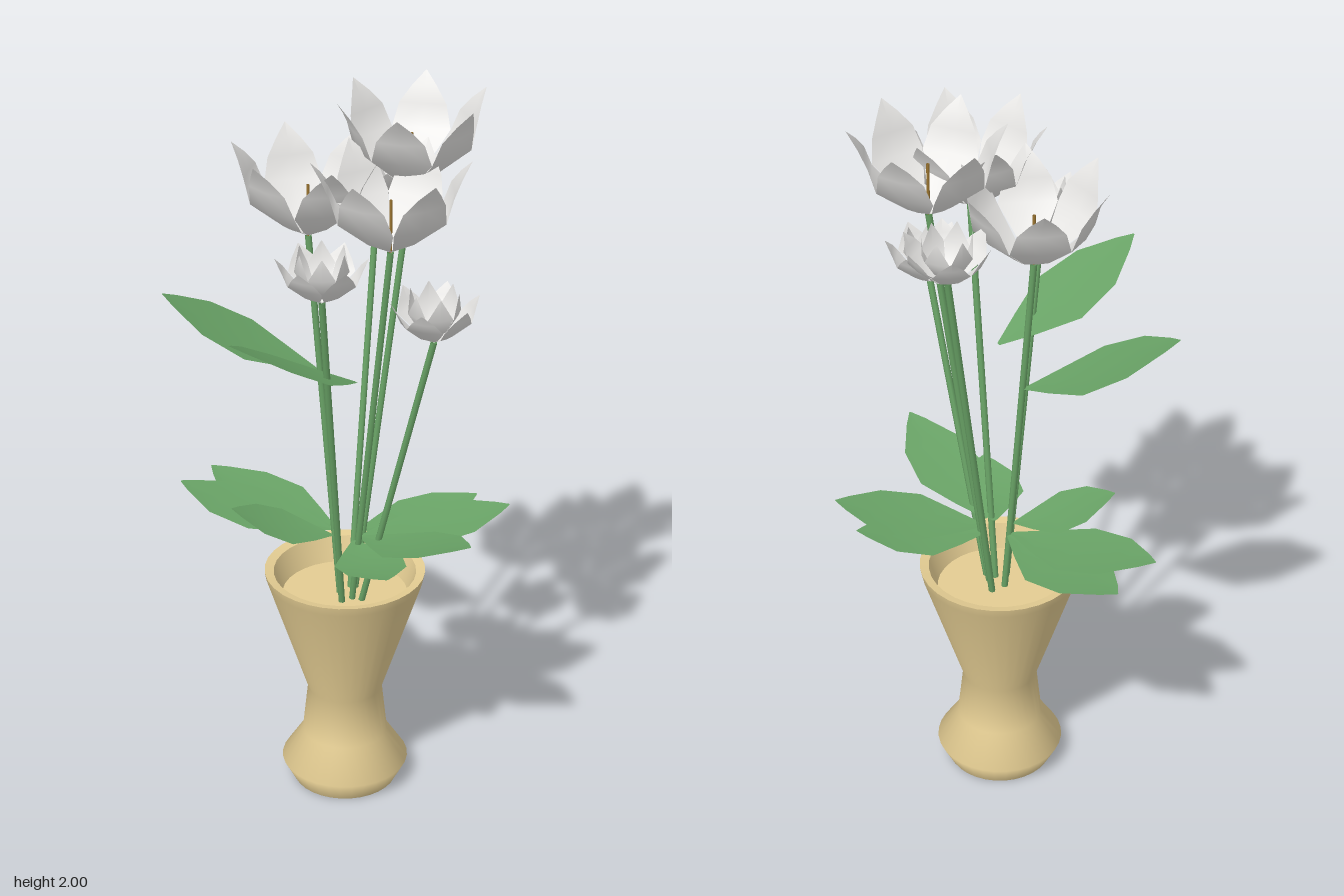
import * as THREE from 'three';

const mat = (name, color) => {
  const m = new THREE.MeshStandardMaterial({ color, side: THREE.DoubleSide });
  m.name = name;
  return m;
};
const V = (x, y, z) => new THREE.Vector3(x, y, z);

// Curved blade: each row is { c: centre point, s: half-width vector, b: bulge of the midline }
function blade(rows) {
  const pos = [], idx = [];
  for (const { c, s, b } of rows) {
    for (const k of [-1, 0, 1]) {
      const p = c.clone().addScaledVector(s, k);
      if (k === 0) p.add(b);
      pos.push(p.x, p.y, p.z);
    }
  }
  for (let i = 0; i < rows.length - 1; i++) {
    for (let j = 0; j < 2; j++) {
      const a = i * 3 + j;
      idx.push(a, a + 1, a + 3, a + 1, a + 4, a + 3);
    }
  }
  const g = new THREE.BufferGeometry();
  g.setAttribute('position', new THREE.Float32BufferAttribute(pos, 3));
  g.setIndex(idx);
  g.computeVertexNormals();
  return g;
}

// Petal from [radius, height, half width] rows, pointing to +x
const petalGeometry = (rows) => blade(rows.map(([r, y, w]) => ({
  c: V(r, y, 0), s: V(0, 0, -w), b: V(0.08 * w, -0.04 * w, 0),
})));

// Nearly flat leaf running from base to tip
const LEAF = [[0, 0.05], [0.2, 0.5], [0.45, 1], [0.72, 0.85], [0.92, 0.3], [1, 0.02]];
function leafGeometry(base, tip, halfWidth) {
  const d = tip.clone().sub(base);
  const side = V(-d.z, 0, d.x).normalize();
  return blade(LEAF.map(([t, w]) => {
    const c = base.clone().addScaledVector(d, t);
    c.y -= 0.01 * Math.sin(Math.PI * t);
    return { c, s: side.clone().multiplyScalar(w * halfWidth), b: V(0, -0.006 * w, 0) };
  }));
}

// Thin straight rod between two points
function rodGeometry(a, b, radius) {
  return new THREE.TubeGeometry(new THREE.LineCurve3(a, b), 1, radius, 8, false);
}

export function createModel() {
  const model = new THREE.Group();
  const clay = mat('clay', 0xe3cc92);
  const green = mat('leaf green', 0x69a366);
  const white = mat('petal white', 0xe8e7e5);
  const brown = mat('pistil brown', 0x9a7430);
  const add = (parent, name, geometry, material) => {
    const mesh = new THREE.Mesh(geometry, material);
    mesh.name = name;
    parent.add(mesh);
    return mesh;
  };

  // Vase: outer wall, rim and recessed inside are separate so the lip stays crisp
  const vase = new THREE.Group();
  vase.name = 'vase';
  vase.position.z = -0.006;
  model.add(vase);
  const lathe = (name, pts) => add(vase, name,
    new THREE.LatheGeometry(pts.map(([r, y]) => new THREE.Vector2(r, y)), 32), clay);
  lathe('vaseWall', [[0.145, 0], [0.176, 0.06], [0.118, 0.15], [0.103, 0.29], [0.215, 0.635], [0.22, 0.66]]);
  lathe('vaseRim', [[0.22, 0.66], [0.195, 0.655]]);
  lathe('vaseInside', [[0.195, 0.655], [0.172, 0.585]]);
  lathe('vaseFloor', [[0.172, 0.585], [0, 0.585]]);

  // Petal shapes
  const largePetal = petalGeometry(
    [[0, 0, 0.002], [0.06, 0.035, 0.031], [0.134, 0.105, 0.077], [0.153, 0.165, 0.062], [0.175, 0.205, 0.033], [0.2, 0.24, 0.001]]);
  const outerPetal = petalGeometry(
    [[0, 0, 0.002], [0.045, 0.025, 0.022], [0.085, 0.065, 0.048], [0.098, 0.09, 0.031], [0.117, 0.12, 0.001]]);
  const innerPetal = petalGeometry(
    [[0, 0.01, 0.002], [0.035, 0.04, 0.02], [0.06, 0.085, 0.034], [0.064, 0.142, 0.001]]);

  const ring = (flower, geometry, start) => {
    for (let i = 0; i < 6; i++) {
      add(flower, 'petal', geometry, white).rotation.y = -(start + i * Math.PI / 3);
    }
  };

  // Flowers on stems: [position, first petal angle, large or small]
  const stemFoot = V(0, 0.38, 0);
  const flowers = [
    [V(0.18, 1.76, -0.01), 0, true],
    [V(-0.08, 1.63, -0.065), Math.PI / 6, true],
    [V(0.055, 1.67, 0.195), 0.29, true],
    [V(-0.135, 1.57, 0.225), 0.3, false],
    [V(0.16, 1.425, 0.235), 0.1, false],
    [V(0.15, 1.66, -0.19), 0.5, false],
  ];
  for (const [at, angle, large] of flowers) {
    const foot = stemFoot.clone().lerp(at, 0.16);
    add(model, 'stem', rodGeometry(foot, at, 0.009), green);
    const flower = new THREE.Group();
    flower.name = large ? 'largeFlower' : 'smallFlower';
    flower.position.copy(at);
    model.add(flower);
    if (large) {
      ring(flower, largePetal, angle);
      add(flower, 'pistil', rodGeometry(V(0, 0, 0), V(0, 0.14, 0), 0.004), brown);
    } else {
      ring(flower, outerPetal, angle);
      ring(flower, innerPetal, angle + Math.PI / 6);
    }
  }

  // Leaves: [base, tip, half width], two high on the stems and the rest around the rim
  const leaves = [
    [V(-0.06, 1.25, -0.05), V(-0.44, 1.46, -0.195), 0.125],
    [V(-0.01, 1.285, 0.12), V(-0.39, 1.51, 0.275), 0.12],
    [V(-0.02, 0.775, -0.04), V(-0.265, 0.825, -0.4), 0.11],
    [V(-0.03, 0.775, -0.03), V(-0.38, 0.845, -0.3), 0.11],
    [V(-0.04, 0.78, 0.01), V(-0.31, 0.885, -0.03), 0.1],
    [V(0.03, 0.78, 0.04), V(0.21, 0.905, 0.4), 0.1],
    [V(0.01, 0.77, 0.04), V(0.01, 0.8, 0.32), 0.095],
    [V(0.04, 0.77, 0.02), V(0.44, 0.835, 0.09), 0.11],
    [V(0.04, 0.77, -0.01), V(0.39, 0.815, -0.03), 0.1],
  ];
  for (const [base, tip, width] of leaves) {
    add(model, 'leaf', leafGeometry(base, tip, width), green);
  }
  return model;
}
